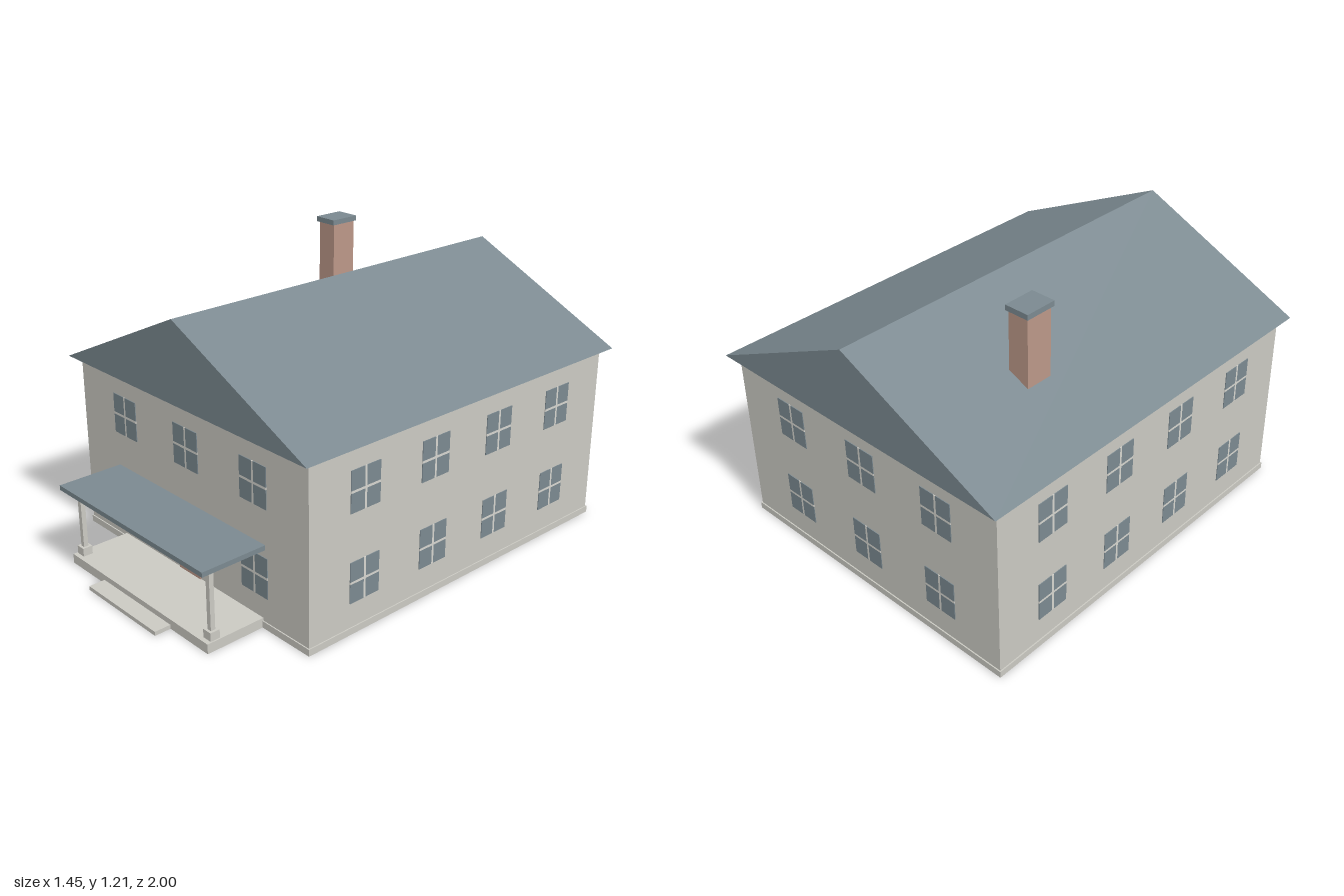
import * as THREE from 'three';

const material = (name, color) => new THREE.MeshStandardMaterial({ name, color });

export function createModel() {
  const house = new THREE.Group();
  house.name = 'house';
  const stone = material('pale stone', 0xcac9c2);
  const slate = material('slate grey', 0x7b8990);
  const brick = material('brick', 0xbb9788);
  const trim = material('window trim', 0xd6d5cf);

  // Box given by its lower and upper limits on each axis
  function block(name, mat, [x0, x1], [y0, y1], [z0, z1], parent = house) {
    const mesh = new THREE.Mesh(new THREE.BoxGeometry(x1 - x0, y1 - y0, z1 - z0), mat);
    mesh.position.set((x0 + x1) / 2, (y0 + y1) / 2, (z0 + z1) / 2);
    mesh.name = name;
    parent.add(mesh);
    return mesh;
  }

  // Main body
  block('walls', stone, [-0.69, 0.69], [0, 0.76], [-0.96, 0.67]);
  block('foundation', stone, [-0.695, 0.695], [0, 0.028], [-0.965, 0.675]);
  block('eavesBand', stone, [-0.695, 0.695], [0.743, 0.76], [-0.965, 0.675]);

  // Gabled roof
  const gable = new THREE.Shape([
    new THREE.Vector2(-0.725, 0.76),
    new THREE.Vector2(0.725, 0.76),
    new THREE.Vector2(0, 1.097),
  ]);
  const roof = new THREE.Mesh(
    new THREE.ExtrudeGeometry(gable, { depth: 1.71, bevelEnabled: false }), slate);
  roof.position.z = -1;
  roof.name = 'roof';
  house.add(roof);

  // Chimney
  block('chimney', brick, [-0.43, -0.34], [0.8, 1.185], [-0.53, -0.412]);
  block('chimneyCap', slate, [-0.44, -0.335], [1.185, 1.207], [-0.54, -0.405]);

  // Four-pane window, facing +z before it is turned
  function addWindow(x, y, z, angle, width) {
    const win = new THREE.Group();
    win.name = 'window';
    const w = width / 2, h = 0.084, bar = 0.005;
    for (const sx of [-1, 1]) {
      for (const sy of [-1, 1]) {
        const xs = [sx * bar, sx * w].sort((a, b) => a - b);
        const ys = [sy * bar, sy * h].sort((a, b) => a - b);
        block('pane', slate, xs, ys, [-0.002, 0.003], win);
      }
    }
    block('uprightBar', trim, [-bar, bar], [-h, h], [-0.002, 0.003], win);
    for (const s of [-1, 1]) {
      const xs = [s * bar, s * w].sort((a, b) => a - b);
      block('crossBar', trim, xs, [-bar, bar], [-0.002, 0.003], win);
    }
    win.position.set(x, y, z);
    win.rotation.y = angle;
    house.add(win);
  }

  for (const y of [0.214, 0.579]) {
    for (const x of [-0.395, 0, 0.395]) {
      // The door takes the middle place on the ground floor
      if (x !== 0 || y > 0.4) addWindow(x, y, 0.67, 0, 0.148);
      addWindow(x, y, -0.96, Math.PI, 0.148);
    }
    for (const z of [0.4, 0.036, -0.324, -0.686]) {
      for (const s of [-1, 1]) addWindow(s * 0.69, y, z, s * Math.PI / 2, 0.146);
    }
  }

  // Front door
  block('door', brick, [-0.066, 0.066], [0.04, 0.295], [0.668, 0.674]);
  block('doorGlass', slate, [-0.039, 0.039], [0.17, 0.252], [0.672, 0.677]);

  // Porch
  block('porchFloor', stone, [-0.44, 0.44], [0, 0.04], [0.67, 0.93]);
  block('frontStep', stone, [-0.217, 0.217], [0, 0.017], [0.93, 1]);
  block('porchRoof', slate, [-0.457, 0.457], [0.33, 0.35], [0.67, 0.955]);
  for (const s of [-1, 1]) {
    const x = s * 0.413, z = 0.89;
    block('columnBase', stone, [x - 0.021, x + 0.021], [0.04, 0.075], [z - 0.021, z + 0.021]);
    block('column', stone, [x - 0.01, x + 0.01], [0.075, 0.33], [z - 0.01, z + 0.01]);
  }

  return house;
}
